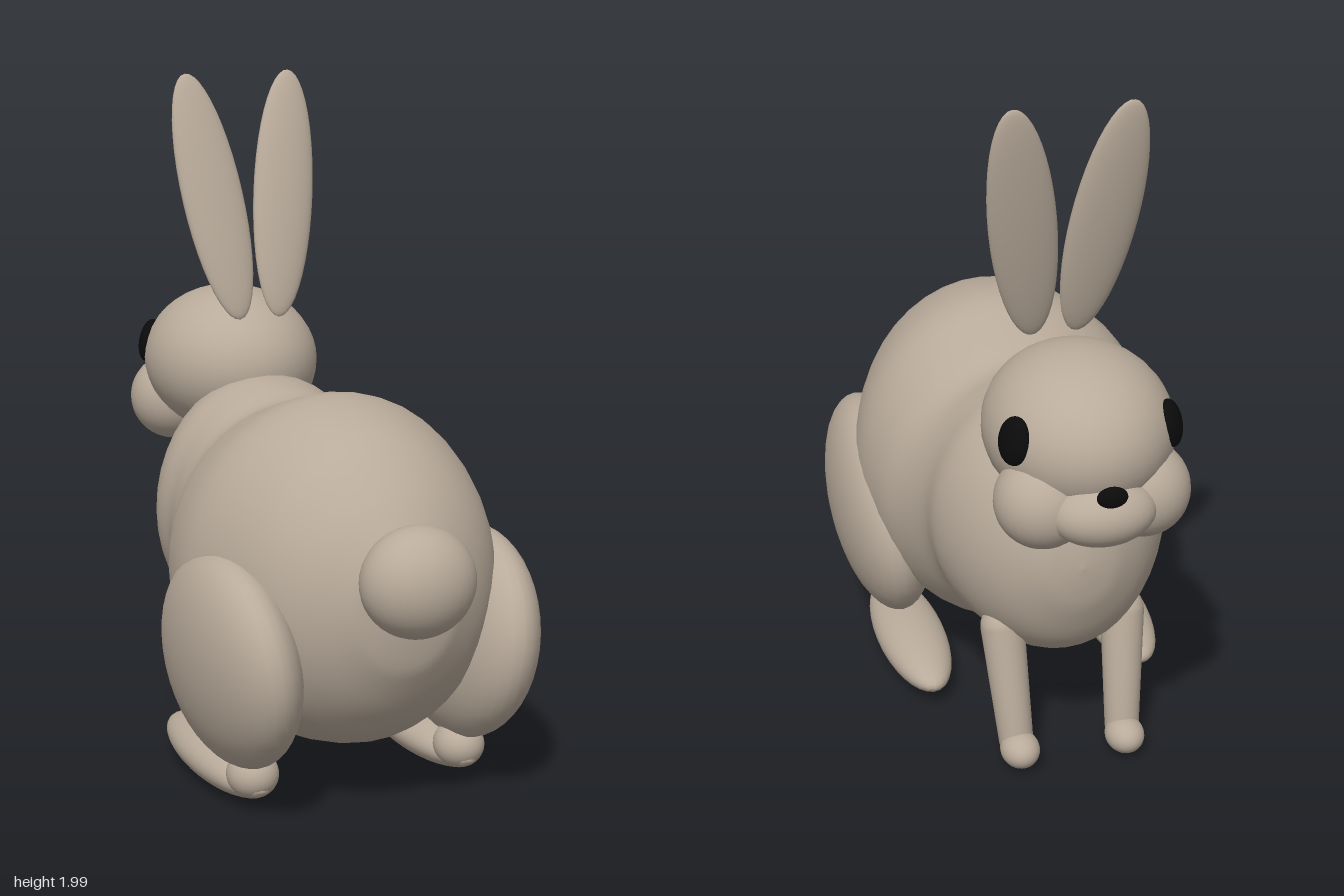
import * as THREE from 'three';

const fur = new THREE.MeshStandardMaterial({ color: 0xb9ab9b });
fur.name = 'fur';
const black = new THREE.MeshStandardMaterial({ color: 0x0b0b0b });
black.name = 'black';

function add(parent, name, geometry, material = fur) {
  const mesh = new THREE.Mesh(geometry, material);
  mesh.name = name;
  parent.add(mesh);
  return mesh;
}

// Ellipsoid from centre, radii and Euler rotation
function blob(parent, name, pos, radii, rot = [0, 0, 0], material = fur) {
  const mesh = add(parent, name, new THREE.SphereGeometry(1, 32, 22), material);
  mesh.position.set(...pos);
  mesh.scale.set(...radii);
  mesh.rotation.set(...rot);
  return mesh;
}

// Torso lofted from elliptical sections: [z, top, bottom, half width]
function torsoGeometry() {
  const sections = [
    [0.775, 0.66, 0.66, 0], [0.755, 0.81, 0.51, 0.125], [0.725, 0.88, 0.43, 0.19],
    [0.64, 0.99, 0.30, 0.30], [0.50, 1.10, 0.19, 0.39], [0.25, 1.155, 0.13, 0.46],
    [0.05, 1.105, 0.16, 0.44], [-0.08, 1.066, 0.21, 0.39], [-0.20, 1.09, 0.27, 0.35],
    [-0.32, 1.10, 0.29, 0.345], [-0.45, 1.06, 0.315, 0.295], [-0.56, 0.95, 0.395, 0.215],
    [-0.63, 0.84, 0.525, 0.125], [-0.652, 0.76, 0.61, 0.06], [-0.66, 0.685, 0.685, 0],
  ];
  const heights = new THREE.CatmullRomCurve3(
    sections.map(([z, top, bottom]) => new THREE.Vector3(z, top, bottom)), false, 'catmullrom');
  const widths = new THREE.CatmullRomCurve3(
    sections.map(([z, , , w]) => new THREE.Vector3(z, w, 0)), false, 'catmullrom');
  const rings = 56, sides = 40, positions = [], indices = [];
  for (let i = 0; i <= rings; i++) {
    const h = heights.getPoint(i / rings);
    const w = Math.max(0, widths.getPoint(i / rings).y);
    for (let j = 0; j < sides; j++) {
      const a = (j / sides) * Math.PI * 2;
      positions.push(w * Math.cos(a), (h.y + h.z) / 2 + ((h.y - h.z) / 2) * Math.sin(a), h.x);
      if (i === rings) continue;
      const p = i * sides + j, q = i * sides + (j + 1) % sides;
      indices.push(p, p + sides, q, q, p + sides, q + sides);
    }
  }
  const geometry = new THREE.BufferGeometry();
  geometry.setAttribute('position', new THREE.Float32BufferAttribute(positions, 3));
  geometry.setIndex(indices);
  geometry.computeVertexNormals();
  return geometry;
}

// Ellipsoid stretched between two end points
function spanBlob(parent, name, from, to, width, depth) {
  const a = new THREE.Vector3(...from), b = new THREE.Vector3(...to);
  const axis = b.clone().sub(a);
  const centre = a.clone().add(b).multiplyScalar(0.5);
  const mesh = blob(parent, name, centre.toArray(), [width, axis.length() / 2, depth]);
  mesh.quaternion.setFromUnitVectors(new THREE.Vector3(0, 1, 0), axis.normalize());
  return mesh;
}

// Tapered leg with a rounded shoulder end
function legGeometry(length, bottom, top) {
  const profile = [new THREE.Vector2(0, -bottom), new THREE.Vector2(bottom * 0.75, -bottom * 0.6),
    new THREE.Vector2(bottom, 0), new THREE.Vector2((bottom + top) / 2, length * 0.5)];
  for (let i = 0; i <= 6; i++) {
    const a = (i / 6) * Math.PI / 2;
    profile.push(new THREE.Vector2(top * Math.cos(a), length + top * Math.sin(a)));
  }
  return new THREE.LatheGeometry(profile, 24);
}

export function createModel() {
  const model = new THREE.Group();
  model.name = 'rabbit';

  add(model, 'torso', torsoGeometry());
  blob(model, 'tail', [0, 0.75, 0.81], [0.165, 0.157, 0.135]);

  // Head
  const head = new THREE.Group();
  head.name = 'head';
  model.add(head);
  blob(head, 'skull', [0, 1.1, -0.59], [0.265, 0.23, 0.305]);
  blob(head, 'muzzle', [0, 0.955, -0.83], [0.15, 0.095, 0.11]);
  blob(head, 'nose', [0, 1.04, -0.922], [0.043, 0.03, 0.022], [0, 0, 0], black);

  for (const s of [1, -1]) {
    const side = s > 0 ? 'left' : 'right';
    blob(head, side + 'Cheek', [0.14 * s, 0.96, -0.735], [0.135, 0.135, 0.135]);
    blob(head, side + 'Eye', [0.218 * s, 1.145, -0.735], [0.032, 0.068, 0.056],
      [0, 0.45 * s, 0.2 * s], black);
    spanBlob(head, side + 'Ear', [0.062 * s, 1.27, -0.34], [0.168 * s, 2.0, -0.525], 0.097, 0.033);

    // Hind leg
    blob(model, side + 'Haunch', [0.37 * s, 0.44, 0.36], [0.15, 0.315, 0.38],
      [-0.25, 0, -0.12 * s]);
    blob(model, side + 'HindFoot', [0.325 * s, 0.08, 0.14], [0.105, 0.07, 0.345]);
    blob(model, side + 'Heel', [0.325 * s, 0.11, 0.41], [0.075, 0.07, 0.08]);

    // Front leg
    const shoulder = new THREE.Vector3(0.18 * s, 0.415, -0.45);
    const ankle = new THREE.Vector3(0.16 * s, 0.07, -0.53);
    const axis = shoulder.clone().sub(ankle);
    const leg = add(model, side + 'FrontLeg', legGeometry(axis.length(), 0.05, 0.064));
    leg.position.copy(ankle);
    leg.quaternion.setFromUnitVectors(new THREE.Vector3(0, 1, 0), axis.normalize());
    blob(model, side + 'FrontPaw', [0.158 * s, 0.064, -0.565], [0.057, 0.052, 0.07]);
  }
  return model;
}
